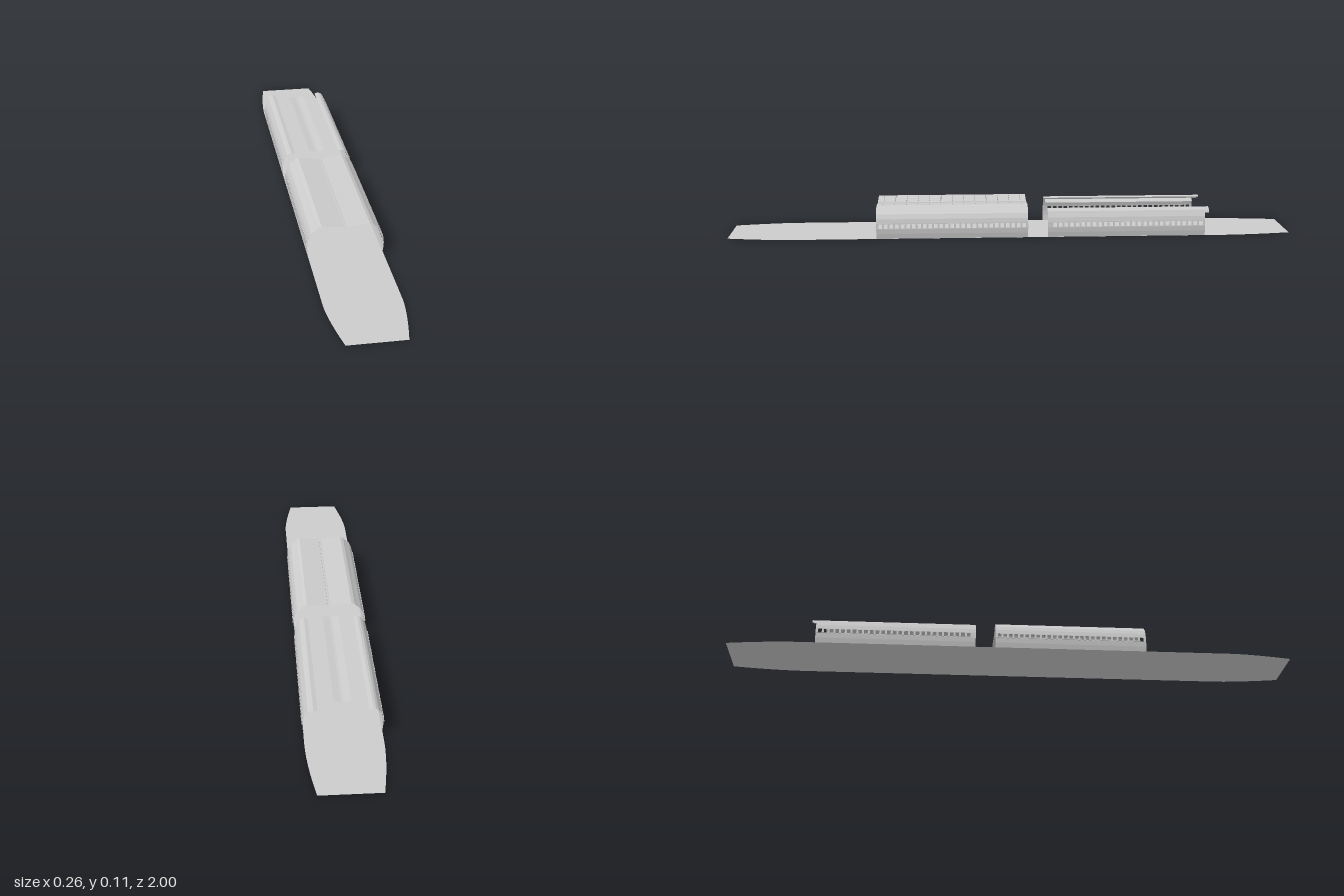
import * as THREE from 'three';

const material = new THREE.MeshStandardMaterial({ color: 0xcccccc, flatShading: true, side: THREE.DoubleSide });

// Flat sheet spanning profile points p -> q (x, y), from z0 to z1.
// Holes are [zStart, zEnd, vStart, vEnd], with v running 0..1 from p to q.
function panel(name, p, q, z0, z1, holes = []) {
  const rect = (Type, a, b, c, d) => new Type([[a, c], [b, c], [b, d], [a, d]].map(([x, y]) => new THREE.Vector2(x, y)));
  const shape = rect(THREE.Shape, z0, z1, 0, 1);
  shape.holes = holes.map(([a, b, c, d]) => rect(THREE.Path, a, b, c, d));
  const geometry = new THREE.ShapeGeometry(shape);
  const pos = geometry.attributes.position;
  for (let i = 0; i < pos.count; i++) {
    const z = pos.getX(i), v = pos.getY(i);
    pos.setXYZ(i, p[0] + (q[0] - p[0]) * v, p[1] + (q[1] - p[1]) * v, z);
  }
  // Keep the sheet's front face outward / upward
  if ((q[1] - p[1]) * Math.sign(p[0] + q[0]) - (q[0] - p[0]) < 0 === p[0] + q[0] > 0) {
    const idx = geometry.index.array;
    for (let i = 0; i < idx.length; i += 3) [idx[i], idx[i + 1]] = [idx[i + 1], idx[i]];
  }
  geometry.computeVertexNormals();
  const mesh = new THREE.Mesh(geometry, material);
  mesh.name = name;
  return mesh;
}

// Folded sheet following a list of profile points
function foldedSheet(name, points, z0, z1) {
  const group = new THREE.Group();
  group.name = name;
  for (let i = 0; i + 1 < points.length; i++) group.add(panel(name + 'Facet', points[i], points[i + 1], z0, z1));
  return group;
}

// Side wall: lower sheet, row of windows with small fins, leaning upper sheet
function sideWall(side, z0, z1, windowStart, windowEnd) {
  const at = (x, y) => [side * x, y];
  const group = new THREE.Group();
  group.name = side > 0 ? 'leftWall' : 'rightWall';
  group.add(foldedSheet('lowerWall', [at(0.124, 0), at(0.127, 0.018), at(0.128, 0.035)], z0, z1));
  const count = 27, pitch = (windowEnd - windowStart) / count;
  const holes = [];
  const finGeometry = new THREE.BoxGeometry(0.003, 0.018, 0.006);
  for (let i = 0; i < count; i++) {
    const z = windowStart + (i + 0.5) * pitch;
    holes.push([z - pitch * 0.32, z + pitch * 0.32, 0.12, 0.88]);
    const fin = new THREE.Mesh(finGeometry, material);
    fin.name = 'windowFin';
    fin.position.set(side * 0.1285, 0.044, z - pitch / 2);
    fin.rotation.z = side * 0.1;
    group.add(fin);
  }
  group.add(panel('windowBand', at(0.128, 0.035), at(0.126, 0.055), z0, z1, holes));
  group.add(foldedSheet('upperWall', [at(0.126, 0.055), at(0.122, 0.07), at(0.114, 0.086)], z0, z1));
  return group;
}

// Platform deck with tapered, gently curved ends
function platform() {
  const shape = new THREE.Shape();
  shape.moveTo(-0.1, -1);
  shape.lineTo(0.1, -1);
  shape.quadraticCurveTo(0.125, -0.85, 0.125, -0.74);
  shape.lineTo(0.125, 0.78);
  shape.quadraticCurveTo(0.123, 0.86, 0.095, 1);
  shape.lineTo(-0.095, 1);
  shape.quadraticCurveTo(-0.123, 0.86, -0.125, 0.78);
  shape.lineTo(-0.125, -0.74);
  shape.quadraticCurveTo(-0.125, -0.85, -0.1, -1);
  const geometry = new THREE.ShapeGeometry(shape, 6);
  geometry.rotateX(-Math.PI / 2);
  geometry.scale(1, 1, -1);
  const idx = geometry.index.array;
  for (let i = 0; i < idx.length; i += 3) [idx[i], idx[i + 1]] = [idx[i + 1], idx[i]];
  geometry.computeVertexNormals();
  const mesh = new THREE.Mesh(geometry, material);
  mesh.name = 'platform';
  return mesh;
}

export function createModel() {
  const model = new THREE.Group();
  model.name = 'stationHall';
  model.add(platform());

  const frontHall = new THREE.Group();
  frontHall.name = 'frontHall';
  const rearHall = new THREE.Group();
  rearHall.name = 'rearHall';
  model.add(frontHall, rearHall);

  // Narrow slits across each half of the front roof
  const slits = [];
  for (let i = 0; i < 13; i++) {
    const z = -0.04 + i * 0.041;
    for (let j = 0; j < 3; j++) slits.push([z, z + 0.002, 0.12 + j * 0.29, 0.29 + j * 0.29]);
  }

  for (const side of [-1, 1]) {
    const at = (x, y) => [side * x, y];
    // Front hall: wall, curved eave and half of the shallow butterfly roof
    frontHall.add(sideWall(side, -0.06, 0.475, -0.055, 0.47));
    frontHall.add(foldedSheet('eave', [at(0.114, 0.086), at(0.1, 0.098), at(0.092, 0.106), at(0.08, 0.111)], -0.06, 0.475));
    frontHall.add(panel('roofPanel', at(0.08, 0.111), at(0.004, 0.102), -0.06, 0.475, slits));

    // Rear hall: wall and curved side canopy, open towards the middle
    rearHall.add(sideWall(side, -0.69, -0.13, -0.685, -0.145));
    rearHall.add(foldedSheet('sideCanopy',
      [at(0.116, 0.08), at(0.111, 0.09), at(0.103, 0.096), at(0.094, 0.098), at(0.081, 0.095)], -0.705, -0.13));
  }

  // Gutter along the front roof valley
  frontHall.add(foldedSheet('roofGutter', [[-0.004, 0.102], [-0.003, 0.098], [0.003, 0.098], [0.004, 0.102]], -0.06, 0.475));
  // Folded canopy along the middle of the rear hall
  rearHall.add(foldedSheet('middleCanopy',
    [[-0.028, 0.102], [-0.004, 0.098], [0.004, 0.098], [0.028, 0.102]], -0.665, -0.13));
  return model;
}
